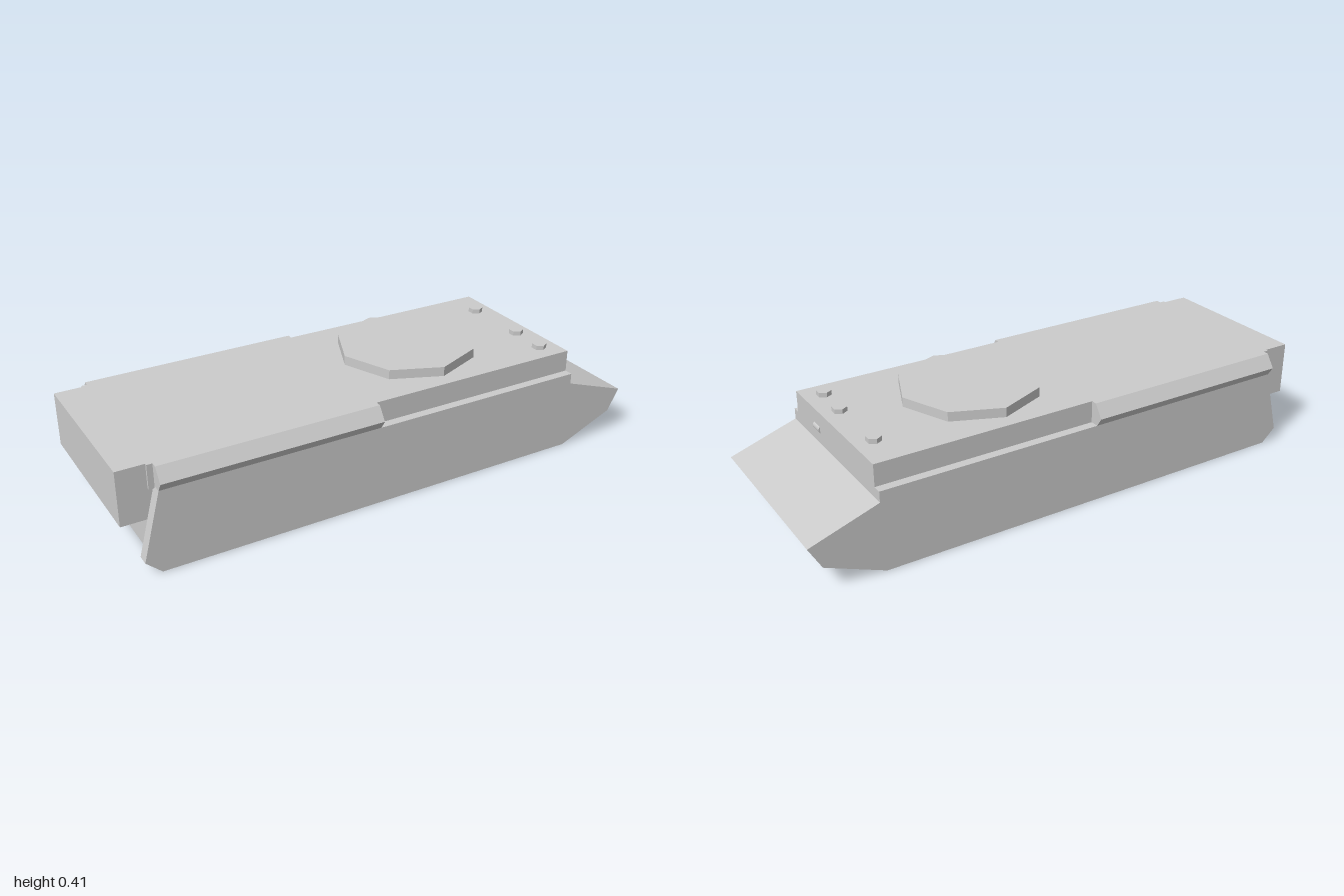
import * as THREE from 'three';

const material = new THREE.MeshStandardMaterial({ color: 0xcccccc, flatShading: true });
const smooth = new THREE.MeshStandardMaterial({ color: 0xcccccc });

export function createModel() {
  const model = new THREE.Group();
  model.name = 'armouredVehicle';

  function add(name, geometry, x = 0, y = 0, z = 0, mat = material) {
    const mesh = new THREE.Mesh(geometry, mat);
    mesh.name = name;
    mesh.position.set(x, y, z);
    model.add(mesh);
    return mesh;
  }

  // Side profile in x, y swept across z, centred on zero
  function sweep(points, width) {
    const shape = new THREE.Shape(points.map(([x, y]) => new THREE.Vector2(x, y)));
    return new THREE.ExtrudeGeometry(shape, { depth: width, bevelEnabled: false }).translate(0, 0, -width / 2);
  }

  function box(name, x0, x1, y0, y1, halfWidth) {
    add(name, new THREE.BoxGeometry(x1 - x0, y1 - y0, halfWidth * 2), (x0 + x1) / 2, (y0 + y1) / 2, 0);
  }

  // Lower hull with the pointed bow
  add('lowerHull', sweep([
    [-0.89, 0], [0.74, 0], [0.955, 0.09], [1, 0.172], [0.75, 0.257], [0.75, 0.297], [-0.88, 0.297],
  ], 0.69));

  // Upper hull and overhanging rear compartment
  box('upperHull', -0.9, 0.75, 0.29, 0.378, 0.312);
  box('rearCompartment', -1, -0.88, 0.18, 0.378, 0.303);

  for (const side of [1, -1]) {
    const label = side > 0 ? 'left' : 'right';

    // Rear ends of the side skirts, projecting past the hull's back wall
    add(label + 'SkirtEnd', sweep([[-0.945, 0.05], [-0.89, 0], [-0.88, 0.297]], 0.042), 0, 0, side * 0.324);

    // Angled stowage bin along the rear half of the side
    const section = [[0.305, 0.297], [0.345, 0.297], [0.367, 0.33], [0.333, 0.378], [0.305, 0.378]];
    const shape = new THREE.Shape(section.map(([z, y]) => new THREE.Vector2(-side * z, y)));
    const bin = new THREE.ExtrudeGeometry(shape, { depth: 0.8, bevelEnabled: false });
    add(label + 'SideBin', bin.rotateY(Math.PI / 2), -0.88, 0, 0);
  }

  // Octagonal turret plate
  add('turretPlate', new THREE.CylinderGeometry(0.257, 0.257, 0.035, 8).rotateY(Math.PI / 2), 0.233, 0.3955, 0);

  // Hexagonal caps on the front deck
  for (const [x, z] of [[0.68, -0.17], [0.685, 0.086], [0.678, 0.234]]) {
    add('deckCap', new THREE.CylinderGeometry(0.027, 0.027, 0.02, 6), x, 0.385, z);
  }

  // Small rounded lamp on the front plate
  add('frontLamp', new THREE.CylinderGeometry(0.016, 0.016, 0.05, 16).rotateX(Math.PI / 2), 0.74, 0.31, 0.138, smooth);

  return model;
}
